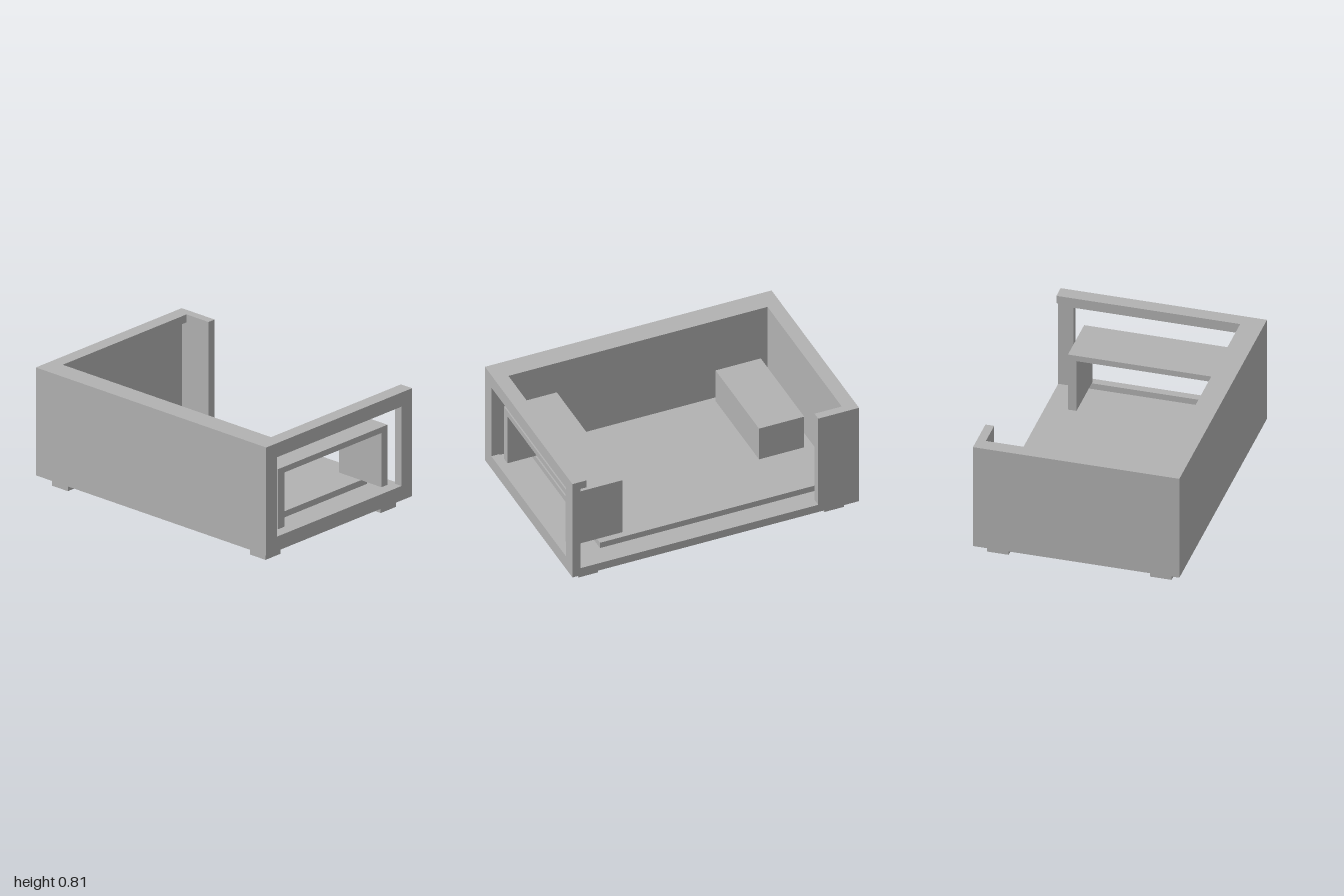
import * as THREE from 'three';

export function createModel() {
  const model = new THREE.Group();
  const grey = new THREE.MeshStandardMaterial({ color: 0xb2b2b2 });
  grey.name = 'plain grey';

  const add = (name, geometry) => {
    const mesh = new THREE.Mesh(geometry, grey);
    mesh.name = name;
    model.add(mesh);
    return mesh;
  };
  // Box given by its limits along each axis
  const box = (name, [x0, x1], [y0, y1], [z0, z1]) =>
    add(name, new THREE.BoxGeometry(x1 - x0, y1 - y0, z1 - z0))
      .position.set((x0 + x1) / 2, (y0 + y1) / 2, (z0 + z1) / 2);
  const polygon = (points) => new THREE.Shape(points.map(([x, y]) => new THREE.Vector2(x, y)));
  const extrude = (shape, depth) => new THREE.ExtrudeGeometry(shape, { depth, bevelEnabled: false });

  const X = 0.685, BASE = 0.073, FLOOR = 0.13, RIM = 0.76, TOP = 0.815;

  // Floor slab and feet
  box('floor', [-X, X], [BASE, FLOOR], [-1, 1]);
  for (const sx of [-1, 1]) {
    for (const sz of [-1, 1]) {
      const x = sx * 0.541, z = sz * 0.858;
      box('foot', [x - 0.071, x + 0.071], [0, BASE], [z - 0.068, z + 0.068]);
    }
  }

  // Closed walls on the back and one side, with a short return on the open side
  box('sideWall', [-X, -0.628], [FLOOR, RIM], [-0.945, 0.945]);
  box('backWall', [-X, 0.627], [FLOOR, RIM], [-1, -0.945]);
  box('returnWall', [0.627, X], [FLOOR, TOP], [-1, -0.715]);

  // Front wall with a wide window
  const front = polygon([[-X, FLOOR], [X, FLOOR], [X, RIM], [-X, RIM]]);
  front.holes.push(polygon([[-0.585, 0.172], [-0.585, 0.718], [0.585, 0.718], [0.585, 0.172]]));
  add('frontWall', extrude(front, 0.055)).position.z = 0.945;

  // Overhanging top rim, open on one side (shape y becomes -z)
  const rim = polygon([
    [-X, -1], [X, -1], [X, -0.903], [-0.535, -0.903],
    [-0.535, 0.905], [0.627, 0.905], [0.627, 1], [-X, 1],
  ]);
  const rimMesh = add('topRim', extrude(rim, TOP - RIM));
  rimMesh.rotation.x = -Math.PI / 2;
  rimMesh.position.y = RIM;

  // Raised mat and the block standing on it
  box('mat', [-0.54, 0.54], [FLOOR, 0.172], [-0.86, 0.743]);
  box('block', [-0.54, 0.14], [0.172, 0.416], [-0.86, -0.545]);

  // Arched bench behind the front window
  const bench = polygon([
    [-0.513, 0.187], [-0.456, 0.187], [-0.456, 0.56], [0.456, 0.56],
    [0.456, 0.187], [0.513, 0.187], [0.513, 0.6], [-0.513, 0.6],
  ]);
  add('bench', extrude(bench, 0.37)).position.z = 0.575;

  return model;
}
